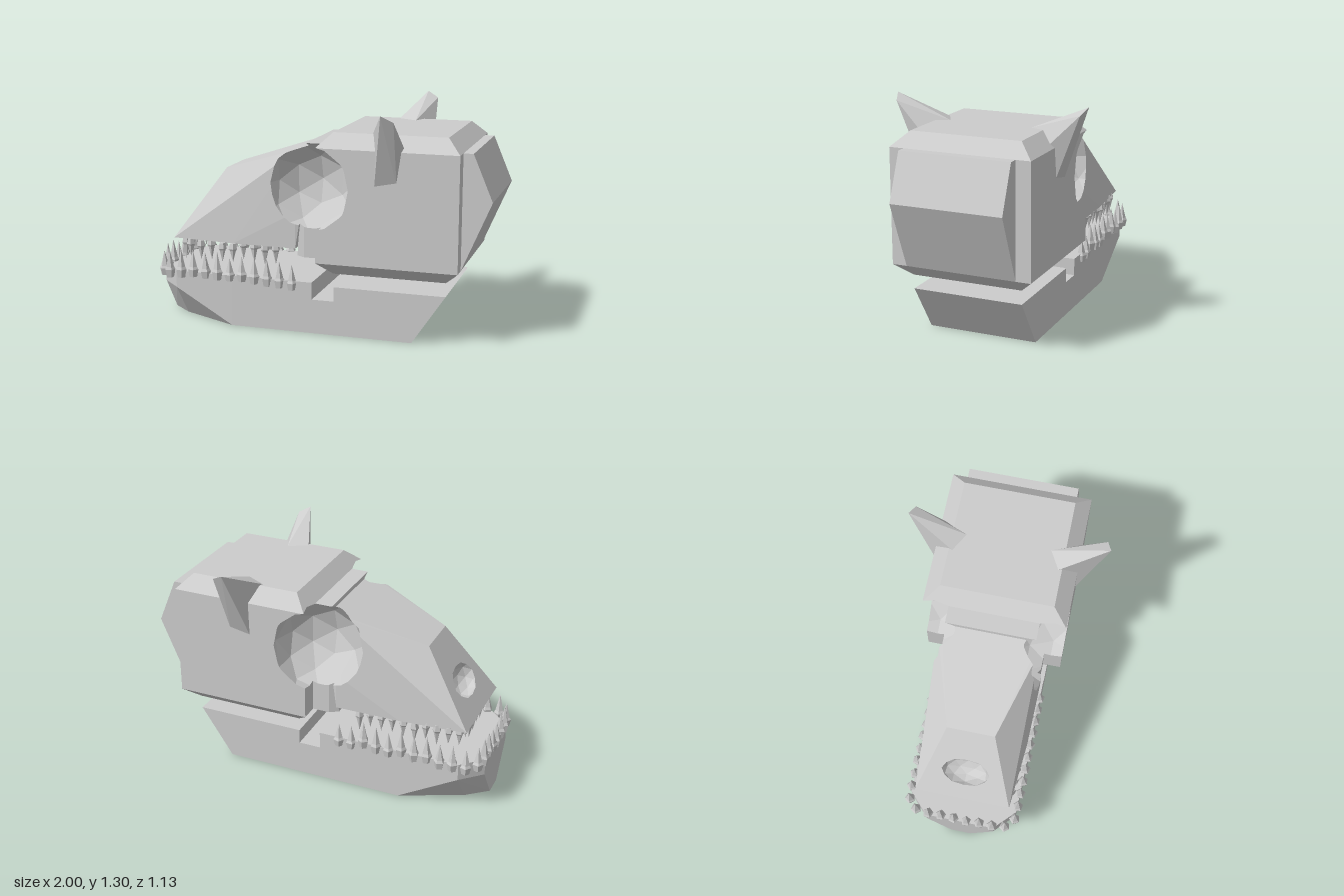
import * as THREE from 'three';
import { ConvexGeometry } from 'three/addons/geometries/ConvexGeometry.js';

const V = (x, y, z) => new THREE.Vector3(x, y, z);

// Convex solid from half its points, mirrored across z
const hull = (pts) => new ConvexGeometry(pts.flatMap(([x, y, z]) => [V(x, y, z), V(x, y, -z)]));

// Triangles of a geometry as lists of corners
function polysOf(geo) {
  const g = geo.index ? geo.toNonIndexed() : geo;
  const p = g.attributes.position, out = [];
  for (let i = 0; i < p.count; i += 3) {
    out.push([0, 1, 2].map((k) => new THREE.Vector3().fromBufferAttribute(p, i + k)));
  }
  return out;
}

const planesOf = (polys) => polys.map((t) => new THREE.Plane().setFromCoplanarPoints(...t));

// Divide a polygon by a plane into its front and back pieces
function split(poly, plane) {
  const front = [], back = [], d = poly.map((v) => plane.distanceToPoint(v)), e = 1e-6;
  poly.forEach((v, i) => {
    const j = (i + 1) % poly.length;
    if (d[i] > -e) front.push(v);
    if (d[i] < e) back.push(v);
    if ((d[i] > e && d[j] < -e) || (d[i] < -e && d[j] > e)) {
      const m = v.clone().lerp(poly[j], d[i] / (d[i] - d[j]));
      front.push(m);
      back.push(m);
    }
  });
  return {
    front: d.some((n) => n > e) && front.length > 2 ? front : null,
    back: d.some((n) => n < -e) || d.every((n) => Math.abs(n) <= e) ? back : null,
  };
}

// Sort polygons into those inside and outside a convex solid
function clip(polys, planes) {
  const outside = [];
  let inside = polys;
  for (const plane of planes) {
    const next = [];
    for (const poly of inside) {
      const { front, back } = split(poly, plane);
      if (front) outside.push(front);
      if (back && back.length > 2) next.push(back);
    }
    inside = next;
  }
  return { inside, outside };
}

// Carve convex hollows out of a convex solid
function carve(geo, cutters) {
  const solid = polysOf(geo), solidPlanes = planesOf(solid);
  let result = solid;
  const dishes = [];
  for (const cutter of cutters) {
    const faces = polysOf(cutter);
    result = clip(result, planesOf(faces)).outside;
    for (const f of clip(faces, solidPlanes).inside) dishes.push([...f].reverse());
  }
  const pos = [];
  for (const poly of [...result, ...dishes]) {
    for (let i = 1; i < poly.length - 1; i++) {
      for (const v of [poly[0], poly[i], poly[i + 1]]) pos.push(v.x, v.y, v.z);
    }
  }
  const out = new THREE.BufferGeometry();
  out.setAttribute('position', new THREE.Float32BufferAttribute(pos, 3));
  out.computeVertexNormals();
  return out;
}

export function createModel() {
  const model = new THREE.Group();
  const bone = new THREE.MeshStandardMaterial({ name: 'bone grey', color: 0xcccccc });
  const add = (name, geo, parent = model) => {
    const mesh = new THREE.Mesh(geo, bone);
    mesh.name = name;
    parent.add(mesh);
    return mesh;
  };

  // Hollows for the eyes and the nostril
  const eyes = [1, -1].map((s) =>
    new THREE.IcosahedronGeometry(0.262, 1).translate(-0.025, 0.86, s * 0.34));
  const nostril = new THREE.IcosahedronGeometry(1, 1)
    .scale(0.08, 0.1, 0.138).rotateZ(-0.3).translate(-0.77, 0.655, 0);

  // Cranium with bevelled top and bottom
  const ring = (x0, x1, y, z) => [[x0, y, z], [x1, y, z]];
  add('cranium', carve(hull([
    ...ring(0.11, 0.755, 1.17, 0.32), ...ring(0.03, 0.835, 1.09, 0.405),
    ...ring(0.03, 0.835, 0.44, 0.405), ...ring(0.11, 0.755, 0.365, 0.32),
  ]), eyes));

  // Pointed back of the head
  add('backOfHead', hull([
    [0.78, 0.44, 0.32], [0.835, 0.44, 0.32], [1, 0.83, 0.32], [0.89, 1.09, 0.32], [0.78, 1.09, 0.32],
  ]));

  // Cheek pillar joining snout and cranium
  add('cheekPillar', carve(hull([0.44, 1.09].flatMap((y) => [
    [y > 1 ? -0.07 : -0.12, y, 0.27], [-0.07, y, 0.3], [0.1, y, 0.3],
  ])), eyes));

  // Tapering snout
  add('snout', carve(hull([
    [-0.885, 0.49, 0.275], [-0.5, 0.49, 0.305], [-0.12, 0.49, 0.31],
    [-0.6, 0.9, 0.135], [-0.12, 1.05, 0.285], [-0.03, 1.08, 0.285], [-0.12, 0.7, 0.31],
  ]), [...eyes, nostril]));

  // Horns
  for (const s of [1, -1]) {
    add(s > 0 ? 'leftHorn' : 'rightHorn', new ConvexGeometry([
      [0.44, 1.305, 0.565], [0.505, 1.27, 0.54], [0.33, 1.17, 0.3], [0.44, 1.17, 0.24],
      [0.525, 1.11, 0.38], [0.365, 0.885, 0.4], [0.49, 0.91, 0.4],
    ].map(([x, y, z]) => V(x, y, s * z))));
  }

  // Lower jaw: notched rear, flat front rim and narrowing chin
  const jaw = new THREE.Group();
  jaw.name = 'lowerJaw';
  model.add(jaw);
  const side = new THREE.Shape([
    [-0.51, 0], [0.565, 0], [0.755, 0.285], [0.11, 0.285], [0.11, 0.2], [-0.02, 0.2], [-0.02, 0.3], [-0.51, 0.3],
  ].map(([x, y]) => new THREE.Vector2(x, y)));
  add('jawRear', new THREE.ExtrudeGeometry(side, { depth: 0.64, bevelEnabled: false }).translate(0, 0, -0.32), jaw);
  const rim = [[-0.51, 0.32], [-0.86, 0.315], [-0.98, 0.2]];
  add('jawRim', hull([0.2, 0.3].flatMap((y) => rim.map(([x, z]) => [x, y, z]))), jaw);
  add('chin', hull([
    ...rim.map(([x, z]) => [x, 0.2, z]), [-0.51, 0, 0.32], [-0.86, 0, 0.16], [-0.98, 0, 0.06],
  ]), jaw);

  // Teeth: blocky root and sharp tip, set along a U-shaped path
  const tooth = new THREE.LatheGeometry([
    [0, 0], [0.024, 0], [0.034, 0.045], [0.025, 0.06], [0, 0.16],
  ].map(([x, y]) => new THREE.Vector2(x, y)), 5).toNonIndexed();
  tooth.computeVertexNormals();

  let seed = 7;
  const rand = () => (seed = (seed * 16807) % 2147483647) / 2147483647;

  function teethRow(name, count, y, dir, size, back, front, z) {
    const row = new THREE.Group();
    row.name = name;
    model.add(row);
    const path = new THREE.Path();
    path.moveTo(back, z);
    path.lineTo(front + 0.1, z);
    path.quadraticCurveTo(front, z, front, z - 0.12);
    path.lineTo(front, 0.12 - z);
    path.quadraticCurveTo(front, -z, front + 0.1, -z);
    path.lineTo(back, -z);
    path.getSpacedPoints(count - 1).forEach((p) => {
      const m = add('tooth', tooth, row);
      m.position.set(p.x, y + (rand() - 0.5) * 0.03, p.y);
      m.rotation.set(dir < 0 ? Math.PI : 0, rand() * 6, 0);
      m.scale.set(size, size * (0.9 + rand() * 0.25), size);
    });
  }
  teethRow('lowerTeeth', 30, 0.262, 1, 0.95, -0.14, -0.968, 0.318);
  teethRow('upperTeeth', 26, 0.495, -1, 0.75, -0.25, -0.845, 0.275);

  return model;
}
